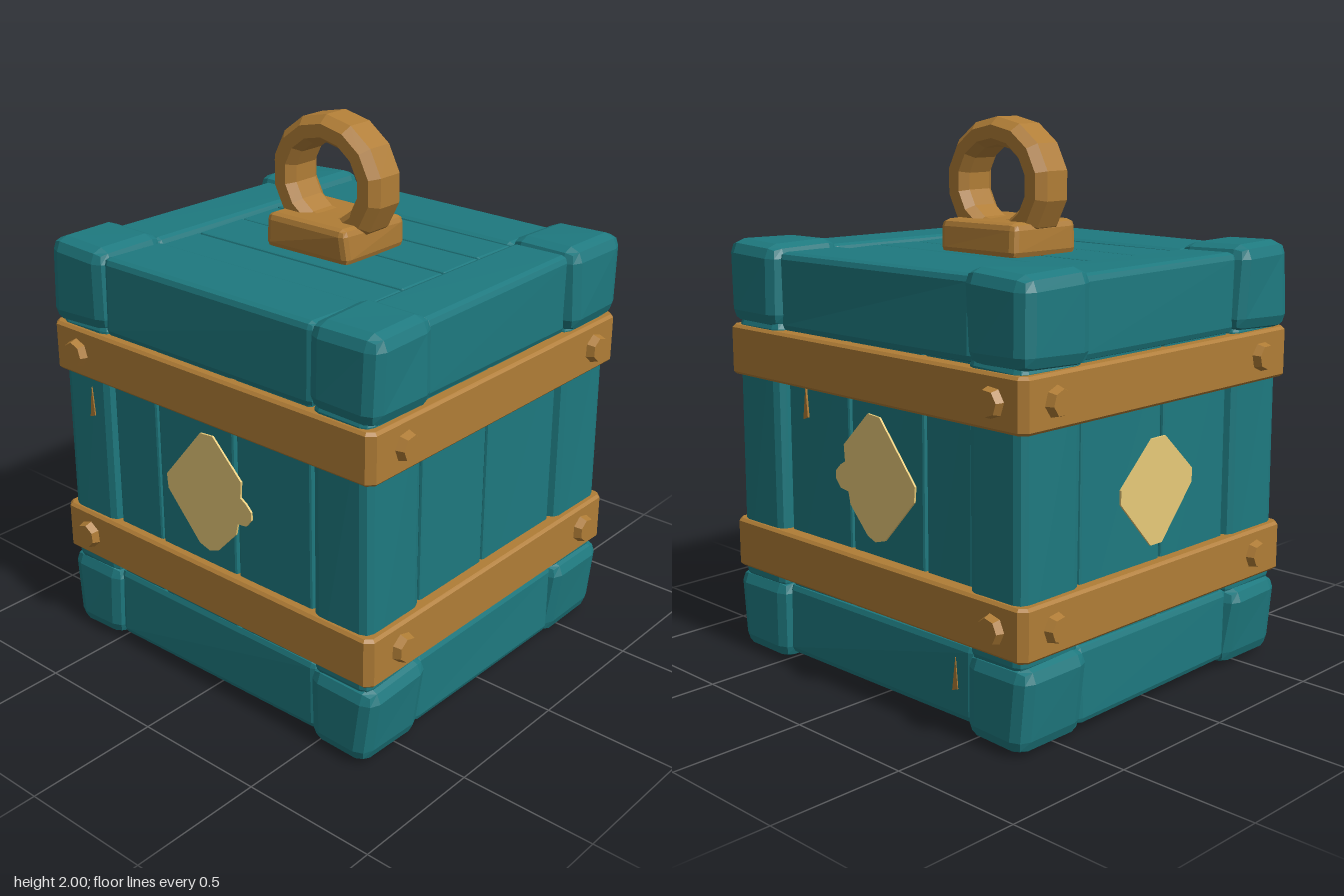
import * as THREE from 'three';
import { RoundedBoxGeometry } from 'three/addons/geometries/RoundedBoxGeometry.js';

export function createModel() {
  const model = new THREE.Group();
  model.name = 'hangingCrate';

  const mat = (name, color) => {
    const m = new THREE.MeshStandardMaterial({ color });
    m.name = name;
    return m;
  };
  const teal = mat('tealWood', 0x1e797f);
  const brass = mat('brass', 0xb07d36);
  const yellow = mat('paleYellow', 0xebcd7a);

  // seeded random in -1..1
  let seed = 11;
  const rand = () => {
    seed = (seed * 16807) % 2147483647;
    return (seed / 2147483647) * 2 - 1;
  };

  const facet = (g) => {
    const f = g.index ? g.toNonIndexed() : g;
    f.computeVertexNormals();
    return f;
  };

  const add = (name, geo, material) => {
    const m = new THREE.Mesh(geo, material);
    m.name = name;
    model.add(m);
    return m;
  };

  // hand-hewn block between two corners: bevelled edges, slightly shifted corners,
  // and an optional inward lean of the outer side towards the bottom
  const block = (name, [x0, x1], [y0, y1], [z0, z1], material, bevel = 0.02, wobble = 0.005, lean = 0) => {
    const g = new RoundedBoxGeometry(x1 - x0, y1 - y0, z1 - z0, 1, bevel);
    const shift = Array.from({ length: 8 }, () => [rand() * wobble, rand() * wobble, rand() * wobble]);
    const p = g.attributes.position;
    const side = Math.sign(x0 + x1);
    for (let i = 0; i < p.count; i++) {
      const x = p.getX(i), y = p.getY(i), z = p.getZ(i);
      const s = shift[(x > 0 ? 1 : 0) + (y > 0 ? 2 : 0) + (z > 0 ? 4 : 0)];
      const inward = y < 0 && x * side > 0 ? -side * lean : 0;
      p.setXYZ(i, x + s[0] + inward, y + s[1], z + s[2]);
    }
    const m = add(name, facet(g), material);
    m.position.set((x0 + x1) / 2, (y0 + y1) / 2, (z0 + z1) / 2);
  };
  const span = (sign, a, b) => (sign > 0 ? [a, b] : [-b, -a]);
  const signs = [-1, 1];

  // top and bottom frames: corner blocks and beams
  for (const level of [
    { corner: [0.01, 0.31], beam: [0.035, 0.31], lean: 0.025 },
    { corner: [1.25, 1.56], beam: [1.25, 1.535], lean: 0 },
  ]) {
    for (const s of signs) {
      for (const t of signs) {
        block('cornerBlock', span(s, 0.47, 0.755), level.corner, span(t, 0.385, 0.693), teal, 0.05, 0.006, level.lean);
      }
      block('longBeam', [-0.49, 0.49], level.beam, span(s, 0.39, s > 0 ? 0.672 : 0.655), teal, 0.025);
      block('sideBeam', span(s, 0.48, 0.72), level.beam, [-0.41, 0.41], teal, 0.025);
    }
  }

  // lid and floor planks, set a little below the frames
  for (const [name, y] of [['lidPlank', [1.445, 1.52]], ['floorPlank', [0.06, 0.135]]]) {
    for (const z of [[-0.42, -0.205], [-0.2, -0.015], [-0.01, 0.215], [0.22, 0.42]]) {
      block(name, [-0.475, 0.475], y, z, teal, 0.008, 0.003);
    }
  }

  // walls: corner posts and upright planks, a little deeper at the back
  const wallY = [0.27, 1.29];
  const wallZ = { front: 0.662, back: 0.642 };
  for (const s of signs) {
    for (const t of signs) block('cornerPost', span(s, 0.48, 0.722), wallY, span(t, 0.395, 0.678), teal, 0.035, 0.004);
    for (const x of [[-0.472, -0.253], [-0.245, 0.125], [0.133, 0.472]]) {
      block('wallPlank', x, wallY, span(s, 0.58, s > 0 ? wallZ.front : wallZ.back), teal, 0.01, 0.002);
    }
    for (const z of [[-0.385, 0.025], [0.033, 0.385]]) {
      block('sidePlank', span(s, 0.63, 0.705), wallY, z, teal, 0.01, 0.002);
    }
  }

  // flat bolts with seven sides
  const bolt = (x, y, z, ry) => {
    const g = new THREE.CylinderGeometry(0.044, 0.062, 0.055, 7);
    g.rotateX(Math.PI / 2);
    const m = add('bolt', facet(g), brass);
    m.position.set(x, y, z);
    m.rotation.set(0, ry, rand() * 0.4, 'YXZ');
  };

  // brass bands around the crate with chamfered corners
  const outline = (x, z, c) => [
    [x - c, -z], [x, c - z], [x, z - c], [x - c, z],
    [c - x, z], [-x, z - c], [-x, c - z], [c - x, -z],
  ].map(([a, b]) => new THREE.Vector2(a, b));
  for (const y of [0.422, 1.158]) {
    const shape = new THREE.Shape(outline(0.74, 0.688, 0.02));
    shape.holes.push(new THREE.Path(outline(0.69, 0.63, 0.02)));
    const g = new THREE.ExtrudeGeometry(shape, {
      depth: 0.164, bevelEnabled: true, bevelSegments: 1, bevelSize: 0.01, bevelThickness: 0.01,
    });
    g.translate(0, 0, -0.082).rotateX(-Math.PI / 2);
    add('band', g, brass).position.y = y;
    for (const s of signs) {
      bolt(-0.615, y, s * 0.698, s > 0 ? 0 : Math.PI);
      for (const z of [-0.55, 0.53]) bolt(s * 0.752, y, z, s * Math.PI / 2);
    }
  }

  // painted diamonds on the front, back and one side
  const plate = (name, pts, material, [x, y, z], rx, ry) => {
    const shape = new THREE.Shape(pts.map(([a, b]) => new THREE.Vector2(a, b)));
    const m = add(name, new THREE.ExtrudeGeometry(shape, { depth: 0.008, bevelEnabled: false }), material);
    m.position.set(x, y, z);
    m.rotation.set(rx, ry, 0);
  };
  const splashed = [
    [-0.205, 0.015], [-0.2, -0.04], [-0.05, -0.205], [0, -0.22], [0.04, -0.205], [0.13, -0.11], [0.14, -0.065],
    [0.18, -0.06], [0.205, -0.03], [0.205, 0], [0.18, 0.025], [0.155, 0.04], [0.16, 0.1], [0.03, 0.23], [-0.03, 0.225],
  ];
  const plain = [
    [-0.19, 0.01], [-0.19, -0.04], [-0.03, -0.215], [0.03, -0.215],
    [0.19, -0.03], [0.19, 0.02], [0.04, 0.16], [-0.03, 0.16],
  ];
  plate('frontDiamond', splashed, yellow, [0, 0.785, wallZ.front], 0, 0);
  plate('backDiamond', splashed.map(([a, b]) => [-a, b]), yellow, [0, 0.785, -wallZ.back], 0, Math.PI);
  plate('sideDiamond', plain, yellow, [-0.705, 0.785, 0], 0, -Math.PI / 2);

  // narrow brass slivers in the cracks of the wood
  const sliver = [[-0.012, -0.06], [0.014, -0.05], [0.004, 0.06]];
  plate('crackSliver', sliver, brass, [-0.575, 0.97, 0.675], 0, 0);
  plate('crackSliver', sliver, brass, [0.37, 1.0, -wallZ.back], 0, Math.PI);
  plate('crackSliver', sliver, brass, [-0.4, 0.2, -0.652], 0, Math.PI);
  plate('crackSliver', sliver.map(([a, b]) => [b, a]), brass, [0.3, 0.062, 0.03], Math.PI / 2, 0);

  // lifting ring on its foot
  block('ringFoot', [-0.19, 0.18], [1.515, 1.638], [-0.16, 0.16], brass, 0.025, 0.006);
  const profile = [
    [0.145, -0.05], [0.17, -0.083], [0.22, -0.083], [0.25, -0.05],
    [0.25, 0.05], [0.22, 0.083], [0.17, 0.083], [0.145, 0.05], [0.145, -0.05],
  ].map(([r, y]) => new THREE.Vector2(r, y));
  const ring = new THREE.LatheGeometry(profile, 14);
  ring.rotateX(Math.PI / 2).scale(1, 0.94, 1);
  add('liftingRing', facet(ring), brass).position.set(0, 1.765, 0);

  return model;
}
